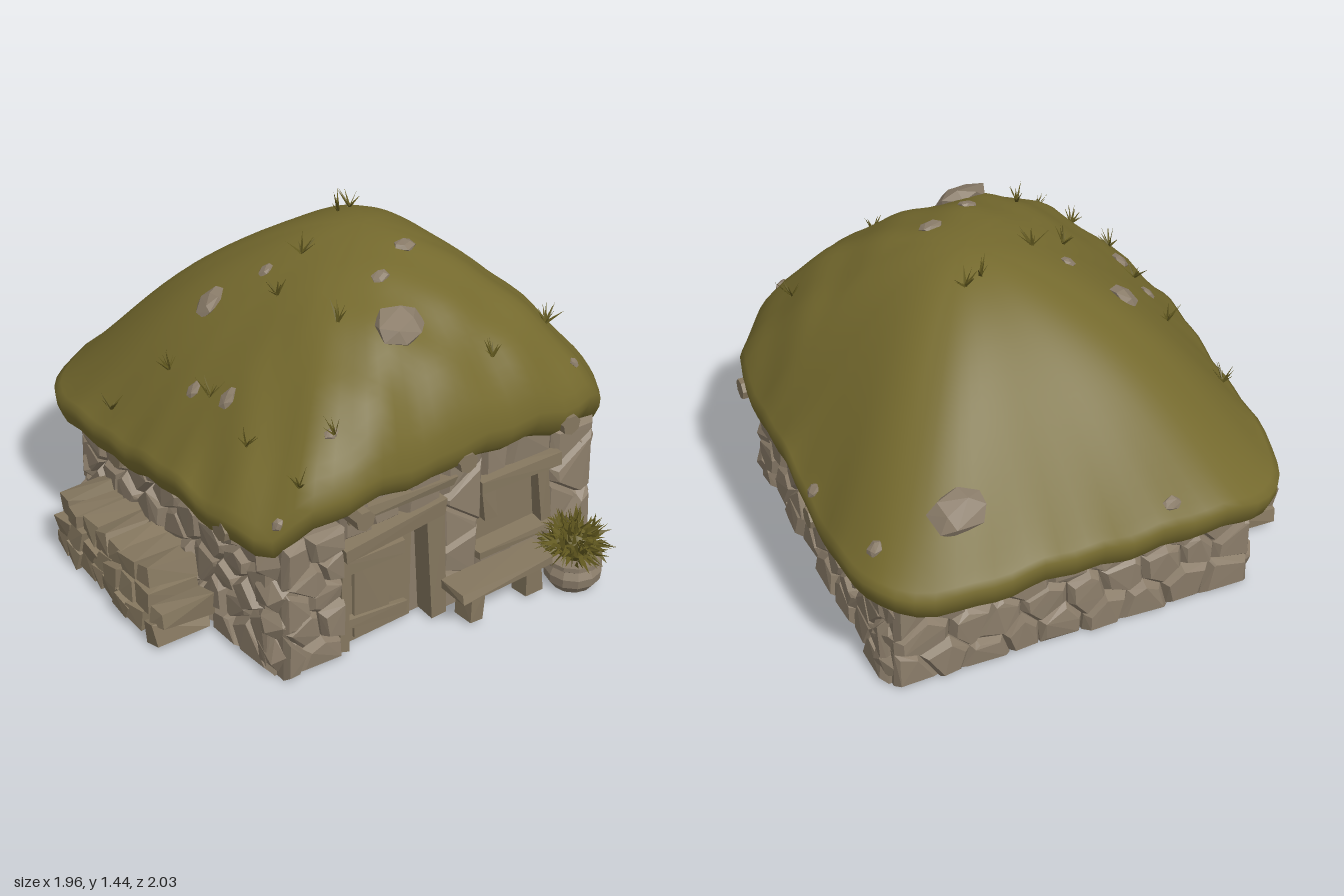
import * as THREE from 'three';
import { mergeGeometries } from 'three/addons/utils/BufferGeometryUtils.js';
import { ConvexGeometry } from 'three/addons/geometries/ConvexGeometry.js';

let seed = 7;
const rnd = () => { seed = (seed * 16807) % 2147483647; return seed / 2147483647; };
const jit = a => (rnd() * 2 - 1) * a;
const V = (x, y, z) => new THREE.Vector3(x, y, z);
const TAU = Math.PI * 2;

const material = (name, color, extra) =>
  Object.assign(new THREE.MeshStandardMaterial({ color, ...extra }), { name });
const stoneMat = material('stone', 0x8b7d6a, { flatShading: true });
const woodMat = material('weatheredWood', 0x85775f, { flatShading: true });
const turfMat = material('turf', 0x756a2e, { side: THREE.DoubleSide });
const leafMat = material('leaves', 0x62591f, { flatShading: true, side: THREE.DoubleSide });

function add(parent, name, geo, mat, x = 0, y = 0, z = 0) {
  const m = new THREE.Mesh(geo, mat);
  m.name = name;
  m.position.set(x, y, z);
  parent.add(m);
  return m;
}

// Keep the part of a polygon nearer to site p than to site q
function clip(poly, p, q) {
  const mx = (p[0] + q[0]) / 2, my = (p[1] + q[1]) / 2, out = [];
  const side = v => (v[0] - mx) * (q[0] - p[0]) + (v[1] - my) * (q[1] - p[1]);
  poly.forEach((a, i) => {
    const b = poly[(i + 1) % poly.length], da = side(a), db = side(b), t = da / (da - db);
    if (da <= 0) out.push(a);
    if (da * db < 0) out.push([a[0] + (b[0] - a[0]) * t, a[1] + (b[1] - a[1]) * t]);
  });
  return out;
}

// Close-fitting rubble stones over a rectangle in the xy plane, bulging towards +z
function rubble(x0, x1, y0, y1) {
  const cols = Math.max(1, Math.round((x1 - x0) / 0.165)), rows = Math.max(1, Math.round((y1 - y0) / 0.135));
  const w = (x1 - x0) / cols, h = (y1 - y0) / rows, sites = [];
  for (let r = 0; r < rows; r++) for (let c = 0; c < cols; c++)
    sites.push([x0 + (c + 0.5 + (r % 2 ? 0.22 : -0.22) + jit(0.25)) * w, y0 + (r + 0.5 + jit(0.3)) * h]);
  return sites.map(p => {
    let poly = [[x0, y0], [x1, y0], [x1, y1], [x0, y1]];
    for (const q of sites) if (q !== p) poly = clip(poly, p, q);
    const cx = poly.reduce((s, v) => s + v[0], 0) / poly.length, cy = poly.reduce((s, v) => s + v[1], 0) / poly.length;
    const d = 0.07 + rnd() * 0.025, pts = [];
    for (const [k, z] of [[1, -0.03], [0.99, d * 0.62], [0.74, d]])
      for (const [x, y] of poly) pts.push(V(cx + (x - cx) * k, cy + (y - cy) * k, z + (z > 0 ? jit(0.008) : 0)));
    return new ConvexGeometry(pts);
  });
}

// Loose faceted boulder
function boulder(rx, ry, rz) {
  const pts = [];
  for (let i = 0; i < 16; i++) {
    const y = 1 - (i + 0.5) / 8, q = Math.sqrt(1 - y * y), a = i * 2.4 + jit(0.3);
    pts.push(V(Math.cos(a) * q * rx, y * ry, Math.sin(a) * q * rz));
  }
  return new ConvexGeometry(pts);
}

// Rough timber: box with shifted corners
function plank(w, h, d, wobble = 0.008) {
  const pts = [];
  for (const x of [-1, 1]) for (const y of [-1, 1]) for (const z of [-1, 1])
    pts.push(V(x * w / 2 + jit(wobble), y * h / 2 + jit(wobble), z * d / 2 + jit(wobble)));
  return new ConvexGeometry(pts);
}

// Roof surface: rounded-square outline drawn up to an off-centre crown, eaves arched on front and back
function roofPoint(a, s, drop) {
  const c = Math.cos(a), k = Math.sin(a), n = 2.1 + 3.1 * s ** 1.4, front = Math.max(0, k) ** 2;
  const rad = (Math.abs(c / 0.9) ** n + Math.abs(k / 0.9) ** n) ** (-1 / n);
  const x = THREE.MathUtils.lerp(0.19, 0.07 + c * rad, s), z = THREE.MathUtils.lerp(0, -0.09 + k * rad, s);
  const arch = Math.abs(k) > 0.69 ? Math.max(0, 1 - (c / 0.72) ** 4) : 0;
  const eave = 0.67 + (k > 0 ? 0.03 : 0.15) * k + (k > 0 ? 0.14 : 0.1) * arch;
  const y = eave + (1.385 - eave) * Math.max(0, 1 - s ** (2 + 0.2 * front)) ** (1.12 - 0.5 * front) - drop;
  const lumps = 0.01 * Math.sin(7 * x + 5 * z) + (z > 0.2 ? 0.02 * Math.sin(19 * x) * Math.sin(15 * (z - 0.2)) : 0);
  const ragged = 0.012 * Math.sin(9 * a + 1) + 0.009 * Math.sin(23 * a);
  return [x, y + s * lumps + s ** 8 * ragged, z];
}
function roofGeometry() {
  const N = 96, rings = [], pos = [], idx = [];
  for (let i = 0; i <= 22; i++) rings.push([1 - (1 - i / 22) ** 1.25, 1, 0]);
  rings.push([1, 0.998, 0.04], [1, 0.98, 0.09], [1, 0.94, 0.125], [1, 0.88, 0.13], [1, 0.8, 0.06], [1, 0.7, 0]);
  for (const [s, k, drop] of rings) for (let j = 0; j < N; j++) {
    const [x, y, z] = roofPoint(j / N * TAU, s, drop);
    pos.push(0.07 + (x - 0.07) * k, y, -0.09 + (z + 0.09) * k);
  }
  for (let i = 0; i < rings.length - 1; i++) for (let j = 0; j < N; j++) {
    const a = i * N + j, b = i * N + (j + 1) % N;
    if (i) idx.push(a, b, a + N);
    idx.push(b, b + N, a + N);
  }
  const g = new THREE.BufferGeometry();
  g.setAttribute('position', new THREE.Float32BufferAttribute(pos, 3));
  g.setIndex(idx);
  g.computeVertexNormals();
  return g;
}

// Thin leaves growing outwards from points on a dome of the given radius
function blades(count, length, spread, width, dome = 0) {
  const geos = [];
  for (let i = 0; i < count; i++) {
    const l = length * (0.6 + rnd() * 0.5), g = new THREE.ConeGeometry(width, l, 3);
    g.scale(1, 1, 0.4).translate(0, l / 2, 0).rotateY(rnd() * TAU).rotateX(jit(dome * 8));
    g.translate(0, dome * (0.6 + rnd() * 0.4), 0).rotateX(spread * Math.sqrt(rnd())).rotateY(rnd() * TAU);
    geos.push(g);
  }
  return mergeGeometries(geos);
}

export function createModel() {
  seed = 7;
  const root = new THREE.Group();
  root.name = 'turfCottage';
  // Wall core behind the stonework
  const core = new THREE.Shape([[-0.66, 0], [0.79, 0], [0.79, 0.57], [0.55, 0.72], [-0.4, 0.72], [-0.66, 0.55]]
    .map(p => new THREE.Vector2(...p)));
  const coreGeo = new THREE.ExtrudeGeometry(core, { depth: 1.34, bevelEnabled: false });
  add(root, 'wallCore', coreGeo, stoneMat, 0, 0, -0.7);
  // Stone walls; the front leaves room for the door and window
  const front = [[-0.68, -0.4, 0, 0.62], [0.05, 0.25, 0, 0.74], [0.25, 0.6, 0, 0.2], [0.6, 0.82, 0, 0.64],
    [-0.42, 0.05, 0.54, 0.74], [0.25, 0.6, 0.56, 0.74]].flatMap(r => rubble(...r));
  add(root, 'frontWall', mergeGeometries(front), stoneMat, 0, 0, 0.64);
  const wall = (name, x0, x1, top, turn, x, z) =>
    add(root, name, mergeGeometries(rubble(x0, x1, 0, top)), stoneMat, x, 0, z).rotation.y = turn;
  wall('backWall', -0.82, 0.69, 0.57, Math.PI, 0, -0.69);
  wall('leftWall', -0.66, 0.71, 0.64, Math.PI / 2, 0.77, 0);
  wall('rightWall', -0.71, 0.66, 0.62, -Math.PI / 2, -0.64, 0);
  // Rounded corner stones
  for (const [x, z] of [[-0.64, 0.63], [0.77, 0.63], [-0.64, -0.67], [0.77, -0.67]]) for (let i = 0; i < 4; i++)
    add(root, 'cornerStone', boulder(0.1, 0.095, 0.1), stoneMat, x + jit(0.01), 0.1 + i * 0.14, z + jit(0.01));
  // Door, window and bench timbers: name, centre, size, tilt
  for (const [name, x, y, z, w, h, d, tilt] of [
    ['doorLeaf', -0.225, 0.25, 0.65, 0.35, 0.48, 0.03, 0], ['doorBoard', -0.25, 0.23, 0.66, 0.17, 0.4, 0.03, 0.02],
    ['doorBatten', -0.25, 0.375, 0.675, 0.3, 0.06, 0.03, 0], ['doorBatten', -0.24, 0.1, 0.67, 0.3, 0.05, 0.03, -0.12],
    ['doorPost', 0.02, 0.255, 0.69, 0.075, 0.49, 0.1, 0.08], ['doorPost', -0.4, 0.24, 0.67, 0.04, 0.46, 0.08, -0.03],
    ['doorLintel', -0.19, 0.515, 0.7, 0.47, 0.07, 0.1, 0.1], ['wallPlate', -0.15, 0.64, 0.71, 0.5, 0.05, 0.06, -0.05],
    ['windowPanel', 0.43, 0.35, 0.645, 0.34, 0.32, 0.02, 0], ['windowLintel', 0.43, 0.535, 0.7, 0.4, 0.06, 0.1, -0.01],
    ['windowSill', 0.43, 0.21, 0.69, 0.4, 0.04, 0.09, 0], ['windowPost', 0.3, 0.42, 0.68, 0.06, 0.15, 0.06, 0.08],
    ['windowPost', 0.58, 0.37, 0.68, 0.05, 0.3, 0.07, 0.12], ['windowBar', 0.43, 0.475, 0.67, 0.3, 0.03, 0.04, 0.04],
    ['benchSeat', 0.27, 0.17, 0.81, 0.45, 0.045, 0.14, 0.02], ['benchLeg', 0.13, 0.085, 0.81, 0.07, 0.14, 0.09, -0.05],
    ['benchLeg', 0.42, 0.085, 0.81, 0.07, 0.14, 0.09, 0.06],
  ]) add(root, name, plank(w, h, d), woodMat, x, y, z).rotation.z = tilt;
  // Projecting roof beams
  const beam = (x, y, z, alongX) => {
    const g = new THREE.CylinderGeometry(0.043, 0.046, 0.34, 7).rotateX(Math.PI / 2);
    add(root, 'roofBeam', alongX ? g.rotateY(Math.PI / 2) : g, woodMat, x, y, z);
  };
  for (const [x, y] of [[-0.38, 0.68], [0.1, 0.745], [0.61, 0.72]]) beam(x, y, 0.64, false);
  for (const [z, y] of [[0.48, 0.625], [-0.27, 0.535]]) for (const x of [0.8, -0.64]) beam(x, y, z, true);
  // Stacked firewood
  const log = (x, y, z, len) => {
    const g = plank(len, 0.078 + rnd() * 0.015, 0.085 + rnd() * 0.015, 0.015).rotateX(jit(0.25)).rotateY(jit(0.06));
    add(root, 'firewoodLog', g, woodMat, x + jit(0.012), y, z);
  };
  for (let row = 0; row < 3; row++) for (let i = 0; i < 7; i++)
    log(-0.84 + row * 0.01, 0.065 + row * 0.083, -0.475 + i * 0.097 + (row % 2) * 0.02, 0.25 - row * 0.01);
  for (const [y, z] of [[0.065, 0.25], [0.145, 0.26]]) log(-0.85, y, z, 0.23);
  // Flower pot with bush
  const pot = [[0, 0], [0.085, 0], [0.115, 0.04], [0.12, 0.08], [0.105, 0.11], [0.118, 0.12], [0.118, 0.14], [0, 0.13]];
  add(root, 'pot', new THREE.LatheGeometry(pot.map(p => new THREE.Vector2(...p)), 12), stoneMat, 0.62, 0, 0.86);
  add(root, 'bushHeart', new THREE.IcosahedronGeometry(0.08, 1), leafMat, 0.62, 0.19, 0.86);
  add(root, 'bushLeaves', blades(230, 0.08, 1.65, 0.013, 0.11), leafMat, 0.62, 0.17, 0.86);
  // Turf roof
  const roof = add(root, 'turfRoof', roofGeometry(), turfMat);
  const ray = new THREE.Raycaster();
  const setOnRoof = (m, x, z, lean) => {
    ray.set(V(x, 3, z), V(0, -1, 0));
    const hit = ray.intersectObject(roof)[0];
    m.position.copy(hit.point);
    if (lean) m.quaternion.setFromUnitVectors(V(0, 1, 0), hit.face.normal);
  };
  // Stones bedded in the turf: x, z, radius
  for (const [x, z, r] of [[-0.02, 0.52, 0.12], [0.57, -0.79, 0.12], [-0.38, -0.21, 0.075], [-0.58, 0.21, 0.05],
    [0.24, 0.21, 0.05], [-0.2, -0.09, 0.035], [-0.61, 0.02, 0.04], [-0.69, 0.69, 0.03], [0.04, 0.32, 0.04],
    [-0.43, 0.66, 0.03], [0.94, -0.28, 0.035], [0.86, -0.7, 0.04], [-0.23, -0.93, 0.04], [0.7, 0.7, 0.03]])
    setOnRoof(add(root, 'roofStone', boulder(r, r * 0.4, r * 0.75), stoneMat), x, z, true);
  // Grass tufts
  for (const [x, z] of [[-0.25, 0.06], [-0.2, 0.38], [-0.64, 0.42], [-0.6, 0.12], [-0.6, -0.17], [-0.08, -0.02],
    [0.2, -0.17], [0.27, -0.19], [-0.42, 0.67], [-0.6, 0.7], [0.3, 0.68], [0.72, 0.5], [-0.76, -0.36]])
    setOnRoof(add(root, 'grassTuft', blades(8, 0.085, 0.9, 0.008), leafMat), x, z, false);
  return root;
}
